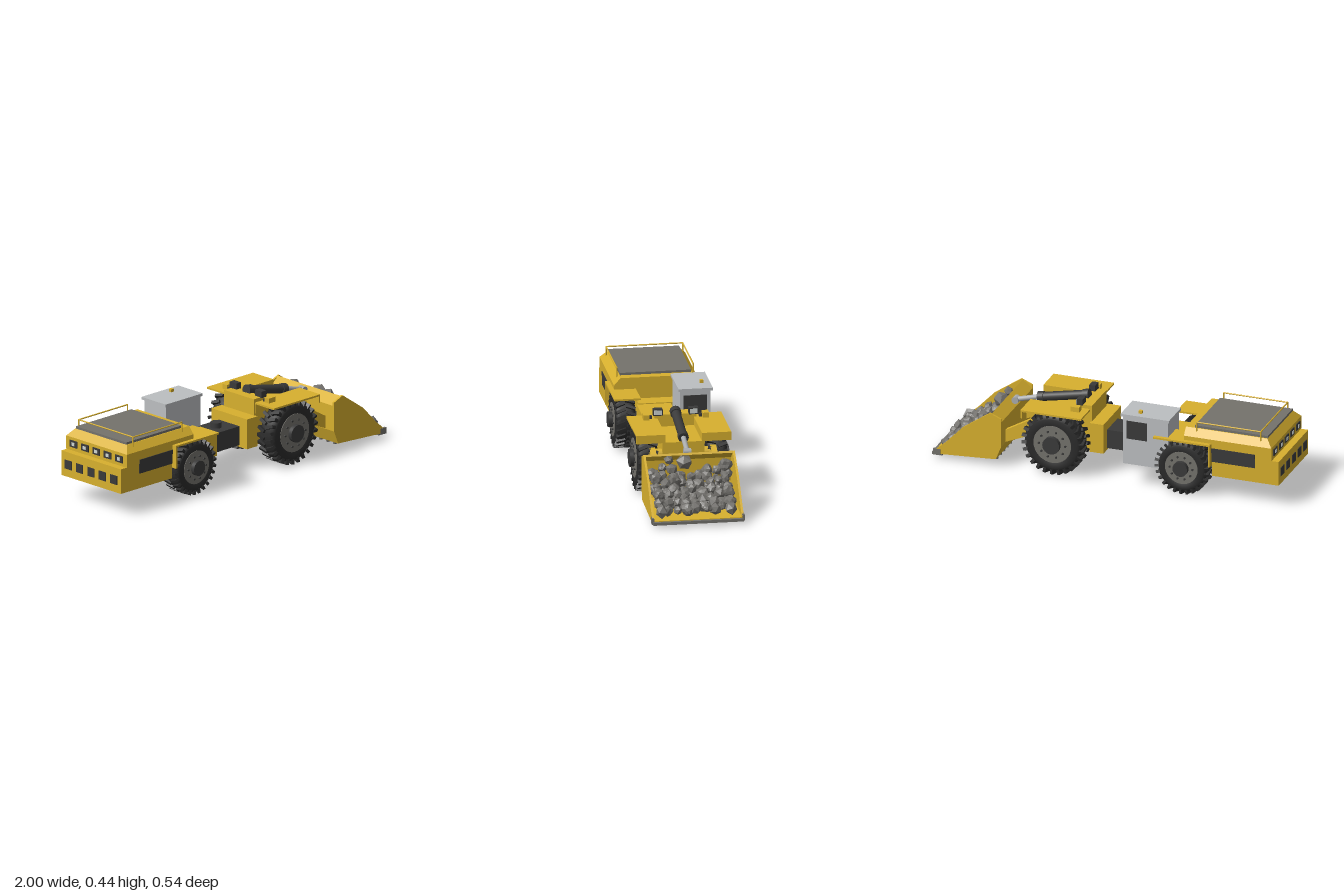
import * as THREE from 'three';
import { mergeGeometries } from 'three/addons/utils/BufferGeometryUtils.js';

const mat = (name, color, extra = {}) => {
  const m = new THREE.MeshStandardMaterial({ color, ...extra });
  m.name = name;
  return m;
};

export function createModel() {
  const root = new THREE.Group();
  root.name = 'miningVehicle';
  const yellow = mat('yellowPaint', 0xd8b02e);
  const cabGrey = mat('cabGrey', 0xbcbfc1);
  const dark = mat('darkSteel', 0x3a3a3a);
  const rubber = mat('rubber', 0x2b2b2b);
  const steel = mat('steelGrey', 0x74726c);
  const chrome = mat('rodSteel', 0xa9abad);
  const lampMat = mat('lampGlass', 0xcfd6d3);
  const rockMat = mat('rock', 0x74726e, { flatShading: true });

  const add = (name, geo, m, parent = root) => {
    const mesh = new THREE.Mesh(geo, m);
    mesh.name = name;
    parent.add(mesh);
    return mesh;
  };
  // box given by its limits
  const box = (name, m, x0, x1, y0, y1, z0, z1) => {
    const b = add(name, new THREE.BoxGeometry(x1 - x0, y1 - y0, z1 - z0), m);
    b.position.set((x0 + x1) / 2, (y0 + y1) / 2, (z0 + z1) / 2);
  };
  // side profile extruded across z
  const prism = (name, m, pts, z0, z1) => {
    const shape = new THREE.Shape(pts.map(p => new THREE.Vector2(p[0], p[1])));
    const geo = new THREE.ExtrudeGeometry(shape, { depth: z1 - z0, bevelEnabled: false });
    add(name, geo.translate(0, 0, z0), m);
  };
  // round bar between two points
  const bar = (name, m, a, b, r, sides = 8) => {
    const p = new THREE.Vector3(...a), d = new THREE.Vector3(...b).sub(p);
    const c = add(name, new THREE.CylinderGeometry(r, r, d.length(), sides), m);
    c.position.copy(p).addScaledVector(d, 0.5);
    c.quaternion.setFromUnitVectors(new THREE.Vector3(0, 1, 0), d.normalize());
  };

  // rear chassis and engine hood
  box('rearBody', yellow, -0.996, -0.61, 0.13, 0.27, -0.23, 0.23);
  box('rearSpine', yellow, -0.61, -0.36, 0.13, 0.265, -0.115, 0.115);
  box('rearDeck', yellow, -0.36, -0.165, 0.13, 0.26, -0.062, 0.125);
  box('hoodRear', yellow, -0.955, -0.61, 0.27, 0.345, -0.235, 0.235);
  box('hoodFront', yellow, -0.61, -0.45, 0.265, 0.345, -0.115, 0.115);
  box('hoodOverWheels', yellow, -0.61, -0.45, 0.318, 0.345, -0.235, 0.235);
  const crown = new THREE.BoxGeometry(0.505, 0.04, 0.47);
  const cp = crown.attributes.position;
  for (let i = 0; i < cp.count; i++) if (cp.getY(i) > 0) {
    cp.setZ(i, Math.sign(cp.getZ(i)) * 0.2);
    if (cp.getX(i) < 0) cp.setX(i, -0.2175);
  }
  crown.computeVertexNormals();
  add('hoodCrown', crown, yellow).position.set(-0.7025, 0.365, 0);
  box('radiatorCover', steel, -0.92, -0.5, 0.375, 0.398, -0.195, 0.195);

  // grilles, rear vents and lamps
  for (const s of [-1, 1]) {
    box('sideGrille', dark, -0.86, -0.61, 0.215, 0.27, s * 0.232 - 0.003, s * 0.232 + 0.003);
    box('sideGrilleTop', dark, -0.86, -0.61, 0.27, 0.295, s * 0.236 - 0.003, s * 0.236 + 0.003);
  }
  for (let i = -2; i <= 2; i++) {
    const z = i * 0.088;
    box('rearVent', dark, -1, -0.994, 0.175, 0.225, z - 0.026, z + 0.026);
    box('rearLampFrame', dark, -0.96, -0.953, 0.29, 0.328, z - 0.028, z + 0.028);
    box('rearLamp', lampMat, -0.963, -0.958, 0.3, 0.318, z - 0.011, z + 0.011);
  }

  // hood handrails
  for (const s of [-1, 1]) {
    bar('sideRail', yellow, [-0.885, 0.424, s * 0.21], [-0.515, 0.424, s * 0.21], 0.004);
    for (const x of [-0.885, -0.515])
      bar('railPost', yellow, [x, 0.365, s * 0.21], [x, 0.424, s * 0.21], 0.004);
  }
  bar('rearRail', yellow, [-0.885, 0.424, -0.21], [-0.885, 0.424, 0.21], 0.004);

  // fenders
  for (const s of [-1, 1]) {
    const span = (name, x0, x1, y0, y1, a, b) =>
      box(name, yellow, x0, x1, y0, y1, Math.min(s * a, s * b), Math.max(s * a, s * b));
    span('rearFender', -0.605, -0.28, 0.311, 0.321, 0.115, 0.26);
    span('rearFenderPost', -0.608, -0.598, 0.19, 0.32, 0.225, 0.26);
    span('frontFender', 0.135, 0.485, 0.352, 0.362, 0.1, 0.26);
    span('frontFenderLip', 0.475, 0.485, 0.315, 0.355, 0.1, 0.26);
  }

  // operator cab
  box('cabBody', cabGrey, -0.36, -0.1, 0.13, 0.41, -0.238, -0.07);
  box('cabRoof', cabGrey, -0.37, -0.09, 0.41, 0.425, -0.25, -0.062);
  box('cabFrontWindow', dark, -0.102, -0.096, 0.28, 0.385, -0.22, -0.09);
  box('cabSideWindow', dark, -0.24, -0.12, 0.28, 0.385, -0.241, -0.235);
  box('beacon', yellow, -0.2, -0.18, 0.425, 0.441, -0.212, -0.193);

  // articulation joint
  box('jointBlock', dark, -0.165, 0.06, 0.13, 0.238, -0.08, 0.08);
  bar('jointPin', dark, [-0.05, 0.105, 0], [-0.05, 0.268, 0], 0.03, 20);

  // front frame
  box('frontFrameRear', yellow, 0.05, 0.13, 0.12, 0.29, -0.138, 0.138);
  box('frontFrame', yellow, 0.125, 0.48, 0.12, 0.315, -0.115, 0.115);
  box('cylinderTower', yellow, 0.125, 0.2, 0.3, 0.382, -0.115, 0.115);
  for (const s of [-1, 1]) {
    box('frameCheek', yellow, 0.135, 0.48, 0.3, 0.355, s * 0.108 - 0.008, s * 0.108 + 0.008);
    box('workLamp', dark, 0.175, 0.21, 0.38, 0.416, s * 0.098 - 0.026, s * 0.098 + 0.026);
    box('workLampGlass', lampMat, 0.208, 0.214, 0.386, 0.411, s * 0.098 - 0.021, s * 0.098 + 0.021);
    box('fenderBox', yellow, 0.175, 0.225, 0.36, 0.39, s * 0.163 - 0.017, s * 0.163 + 0.017);
    box('fenderBoxBracket', dark, 0.18, 0.2, 0.36, 0.377, s * 0.137 - 0.008, s * 0.137 + 0.008);
    // lift arms
    prism('liftArm', yellow, [[0.42, 0.2], [0.61, 0.12], [0.625, 0.18], [0.46, 0.275], [0.42, 0.28]],
      s * 0.167 - 0.016, s * 0.167 + 0.016);
    bar('liftArmPivot', yellow, [0.44, 0.24, s * 0.1], [0.44, 0.24, s * 0.167], 0.03, 12);
  }

  // tilt cylinder
  bar('tiltCylinder', dark, [0.185, 0.395, 0], [0.47, 0.337, 0], 0.025, 20);
  bar('tiltCylinderCap', dark, [0.18, 0.396, 0], [0.215, 0.389, 0], 0.03, 20);
  bar('tiltCylinderGland', dark, [0.44, 0.343, 0], [0.475, 0.336, 0], 0.029, 20);
  bar('tiltRod', chrome, [0.47, 0.337, 0], [0.61, 0.3, 0], 0.014, 16);
  bar('tiltRodEye', chrome, [0.605, 0.3, -0.02], [0.605, 0.3, 0.02], 0.02, 16);

  // wheels: local y is the axle and points outward
  const wheel = (x, r, side) => {
    const g = new THREE.Group();
    g.name = 'wheel';
    g.position.set(x, r, side * 0.19);
    g.rotation.x = side * Math.PI / 2;
    root.add(g);
    const R = r * 0.92, w = 0.055;
    const profile = [[0.5, -w], [0.86, -w], [0.97, -w * 0.8], [1, -w * 0.5], [1, w * 0.5],
      [0.97, w * 0.8], [0.86, w], [0.58, w], [0.56, w * 0.7]];
    add('tyre', new THREE.LatheGeometry(profile.map(p => new THREE.Vector2(p[0] * R, p[1])), 48), rubber, g);
    const lugs = [], n = 26;
    for (let i = 0; i < n * 2; i++) {
      const half = i % 2 ? 1 : -1;
      const lug = new THREE.BoxGeometry(r * 0.16, 0.052, r * 0.095);
      lug.rotateX(half * 0.35);
      lug.translate(r * 0.915, half * 0.028, 0);
      lugs.push(lug.rotateY(i * Math.PI / n));
    }
    add('treadLugs', mergeGeometries(lugs), rubber, g);
    const disc = (name, rad, y0, y1, m) => {
      const c = add(name, new THREE.CylinderGeometry(rad, rad, y1 - y0, 32), m, g);
      c.position.y = (y0 + y1) / 2;
    };
    disc('rim', r * 0.6, -0.05, 0.058, steel);
    disc('hub', r * 0.27, 0.05, 0.082, dark);
    disc('axle', r * 0.25, -0.1, -0.04, dark);
    for (let i = 0; i < 10; i++) {
      const a = i * Math.PI / 5;
      const b = add('wheelBolt', new THREE.CylinderGeometry(0.006, 0.006, 0.012, 6), dark, g);
      b.position.set(Math.cos(a) * r * 0.42, 0.06, Math.sin(a) * r * 0.42);
    }
  };
  for (const s of [-1, 1]) {
    wheel(0.305, 0.181, s);
    wheel(-0.44, 0.157, s);
  }

  // bucket shell, cheeks and wear parts
  prism('bucketShell', yellow, [[0.985, 0.025], [0.63, 0.045], [0.6, 0.12], [0.6, 0.265], [0.655, 0.31],
    [0.662, 0.3], [0.613, 0.26], [0.613, 0.125], [0.64, 0.058], [0.985, 0.038]], -0.245, 0.245);
  for (const s of [-1, 1]) {
    prism('bucketCheek', yellow, [[0.985, 0.025], [0.985, 0.045], [0.92, 0.1], [0.82, 0.205], [0.665, 0.312],
      [0.6, 0.285], [0.6, 0.12], [0.63, 0.045]], s * 0.245 - 0.006, s * 0.245 + 0.006);
    box('cornerShroud', steel, 0.95, 0.992, 0.02, 0.055, s * 0.248 - 0.006, s * 0.248 + 0.006);
  }
  box('cuttingEdge', steel, 0.94, 1, 0.018, 0.034, -0.248, 0.248);
  for (let i = -4; i <= 4; i++) {
    const strip = add('wearStrip', new THREE.BoxGeometry(0.35, 0.012, 0.013), steel);
    strip.position.set(0.805, 0.03, i * 0.054);
    strip.rotation.z = -0.06;
  }

  // ore heap: jittered icosahedra piled against the back and cheeks
  let seed = 7;
  const rnd = () => (seed = (seed * 16807) % 2147483647) / 2147483647;
  const rocks = [];
  const rock = (x, y, z, r) => {
    const geo = new THREE.IcosahedronGeometry(1, rnd() > 0.6 ? 1 : 0);
    const p = geo.attributes.position, v = new THREE.Vector3(), k = rnd() * 9;
    for (let i = 0; i < p.count; i++) {
      v.fromBufferAttribute(p, i);
      const h = Math.sin(v.x * 5.1 + k) + Math.sin(v.y * 6.3 + k * 2) + Math.sin(v.z * 4.7 + k * 3);
      v.multiplyScalar(r * (1 + 0.09 * h));
      p.setXYZ(i, v.x, v.y, v.z);
    }
    geo.rotateX(rnd() * 6).rotateY(rnd() * 6).computeVertexNormals();
    rocks.push(geo.translate(x, y, z));
  };
  for (let row = 0; row < 7; row++) for (let col = 0; col < 9; col++) {
    const x = 0.665 + row * 0.044 + (rnd() - 0.5) * 0.025;
    const z = (col - 4) * 0.049 + (rnd() - 0.5) * 0.02;
    const top = 0.235 - row * 0.023 - (Math.abs(z) < 0.07 ? 0.045 - row * 0.006 : 0);
    const r = 0.022 + rnd() * 0.016;
    rock(x, Math.max(0.075, top - rnd() * 0.035), z, r);
    if (row < 5) rock(x, top * 0.5, z * 0.95, r);
  }
  rock(0.7, 0.275, 0.03, 0.045);
  rock(0.69, 0.285, 0.115, 0.028);
  rock(0.72, 0.255, -0.19, 0.036);
  add('oreHeap', mergeGeometries(rocks), rockMat);

  return root;
}
